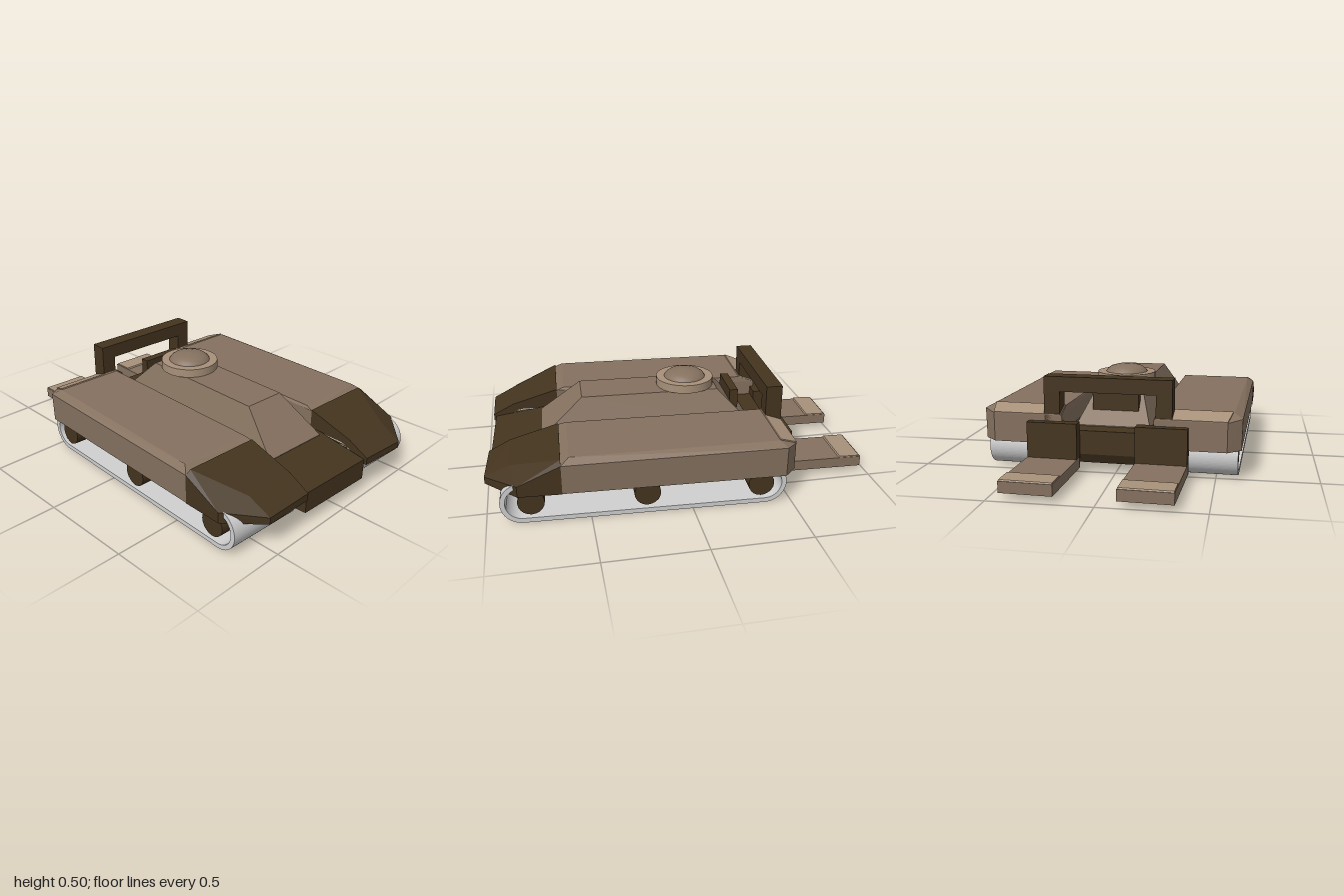
import * as THREE from 'three';
import { ConvexGeometry } from 'three/addons/geometries/ConvexGeometry.js';

const paint = (name, color) => {
  const m = new THREE.MeshStandardMaterial({ color });
  m.name = name;
  return m;
};

export function createModel() {
  const tan = paint('tan armour', 0x85715f);
  const light = paint('light tan', 0xa8917a);
  const dark = paint('dark brown', 0x44341f);
  const grey = paint('track grey', 0xd0d0d0);

  const root = new THREE.Group();
  root.name = 'trackedVehicle';
  const body = new THREE.Group();
  body.name = 'vehicleBody';
  body.rotation.y = -0.038; // the vehicle stands slightly turned
  body.position.z = -0.01;
  root.add(body);

  const add = (name, geometry, material, x = 0, y = 0, z = 0) => {
    const mesh = new THREE.Mesh(geometry, material);
    mesh.name = name;
    mesh.position.set(x, y, z);
    body.add(mesh);
    return mesh;
  };
  // box from its limits
  const box = (name, material, x0, x1, y0, y1, z0, z1) =>
    add(name, new THREE.BoxGeometry(x1 - x0, y1 - y0, z1 - z0), material,
      (x0 + x1) / 2, (y0 + y1) / 2, (z0 + z1) / 2);
  // convex solid from corners, with z multiplied by the side
  const solid = (name, material, points, side = 1) =>
    add(name, new ConvexGeometry(points.map(([x, y, z]) => new THREE.Vector3(x, y, z * side))), material);
  // corners repeated on both sides of the middle
  const both = (points) => points.flatMap(([x, y, z]) => [[x, y, z], [x, y, -z]]);

  // central hull, nose and raised deck
  solid('lowerHull', dark, both([
    [-0.5, 0.05, 0.21], [-0.53, 0.1, 0.22], [-0.53, 0.22, 0.22],
    [0.7, 0.222, 0.22], [0.7, 0.05, 0.21],
  ]));
  solid('nose', dark, both([
    [0.68, 0.05, 0.22], [0.68, 0.225, 0.215], [0.96, 0.18, 0.22], [0.96, 0.07, 0.22],
  ]));
  solid('raisedDeck', tan, both([
    [-0.43, 0.2, 0.19], [-0.43, 0.225, 0.19], [0.7, 0.2, 0.19], [0.7, 0.225, 0.19],
    [-0.25, 0.41, 0.115], [0.48, 0.41, 0.115],
  ]));

  // hatch ring and dome
  add('hatchRing', new THREE.CylinderGeometry(0.155, 0.155, 0.045, 32), light, -0.09, 0.432, 0);
  const dome = [[0.112, 0], [0.105, 0.012], [0.085, 0.027], [0.05, 0.037], [0, 0.041]]
    .map(([r, y]) => new THREE.Vector2(r, y));
  add('hatchDome', new THREE.LatheGeometry(dome, 24), tan, -0.09, 0.454, 0);

  // small upright plate behind the hatch
  box('uprightPlate', dark, -0.365, -0.32, 0.28, 0.4, -0.12, 0.12);

  // roll bar across the rear
  box('rollBarTop', dark, -0.55, -0.465, 0.415, 0.49, -0.32, 0.32);

  // closed track loop with a hollow middle
  const loop = (path, r) => path
    .moveTo(-0.39, 0.107 - r)
    .lineTo(0.8, 0.107 - r)
    .absarc(0.8, 0.107, r, -Math.PI / 2, Math.PI / 2, false)
    .lineTo(-0.39, 0.107 + r)
    .absarc(-0.39, 0.107, r, Math.PI / 2, Math.PI * 1.5, false);
  const trackShape = new THREE.Shape();
  loop(trackShape, 0.107);
  const inside = new THREE.Path();
  loop(inside, 0.083);
  trackShape.holes.push(inside);
  const trackGeometry = new THREE.ExtrudeGeometry(trackShape,
    { depth: 0.41, bevelEnabled: false, curveSegments: 20 });
  trackGeometry.translate(0, 0, -0.205);
  const wheelGeometry = new THREE.CylinderGeometry(0.065, 0.065, 0.39, 20).rotateX(Math.PI / 2);

  for (const s of [1, -1]) {
    const side = s > 0 ? 'left' : 'right';
    const sideBox = (name, material, x0, x1, y0, y1, z0, z1) =>
      box(side + name, material, x0, x1, y0, y1, ...(s > 0 ? [z0, z1] : [-z1, -z0]));

    // running gear
    add(side + 'Track', trackGeometry, grey, 0, 0, 0.43 * s);
    for (const x of [-0.37, 0.2, 0.76]) add(side + 'RoadWheel', wheelGeometry, dark, x, 0.105, 0.435 * s);

    // fender body with bevelled edges
    solid(side + 'Fender', tan, [
      [-0.55, 0.15, 0.23], [-0.55, 0.15, 0.585], [-0.49, 0.15, 0.65], [0.61, 0.15, 0.65], [0.61, 0.15, 0.225],
      [-0.55, 0.295, 0.23], [-0.55, 0.295, 0.585], [-0.49, 0.305, 0.653], [0.61, 0.3, 0.653], [0.61, 0.315, 0.225],
      [-0.46, 0.328, 0.235], [-0.46, 0.328, 0.61], [0.57, 0.328, 0.62], [0.57, 0.328, 0.235],
    ], s);
    // light rear bevel
    const bevel = [[-0.55, 0.295, 0.235], [-0.55, 0.295, 0.585], [-0.46, 0.328, 0.605], [-0.46, 0.328, 0.235]];
    solid(side + 'FenderRearBevel', light,
      [...bevel, ...bevel.map(([x, y, z]) => [x - 0.002, y + 0.006, z])], s);
    // sloping dark front of the fender
    solid(side + 'FenderFront', dark, [
      [0.61, 0.15, 0.225], [0.61, 0.15, 0.653], [0.61, 0.3, 0.653], [0.61, 0.32, 0.625], [0.61, 0.32, 0.225],
      [0.86, 0.246, 0.225], [0.86, 0.244, 0.5],
      [0.82, 0.15, 0.65], [0.82, 0.208, 0.653],
      [0.98, 0.15, 0.49], [0.98, 0.185, 0.49], [0.972, 0.15, 0.225], [0.972, 0.188, 0.225],
    ], s);

    // roll bar post, fork bracket and fork
    sideBox('RollBarPost', dark, -0.55, -0.465, 0.12, 0.42, 0.24, 0.32);
    sideBox('ForkBracket', dark, -0.59, -0.53, 0.035, 0.265, 0.145, 0.4);
    sideBox('Fork', tan, -0.985, -0.53, 0.03, 0.085, 0.145, 0.4);
    solid(side + 'ForkTip', light, [0.147, 0.398].flatMap((z) => [
      [-0.983, 0.084, z], [-0.978, 0.091, z], [-0.87, 0.093, z], [-0.865, 0.084, z],
    ]), s);
  }
  return root;
}
